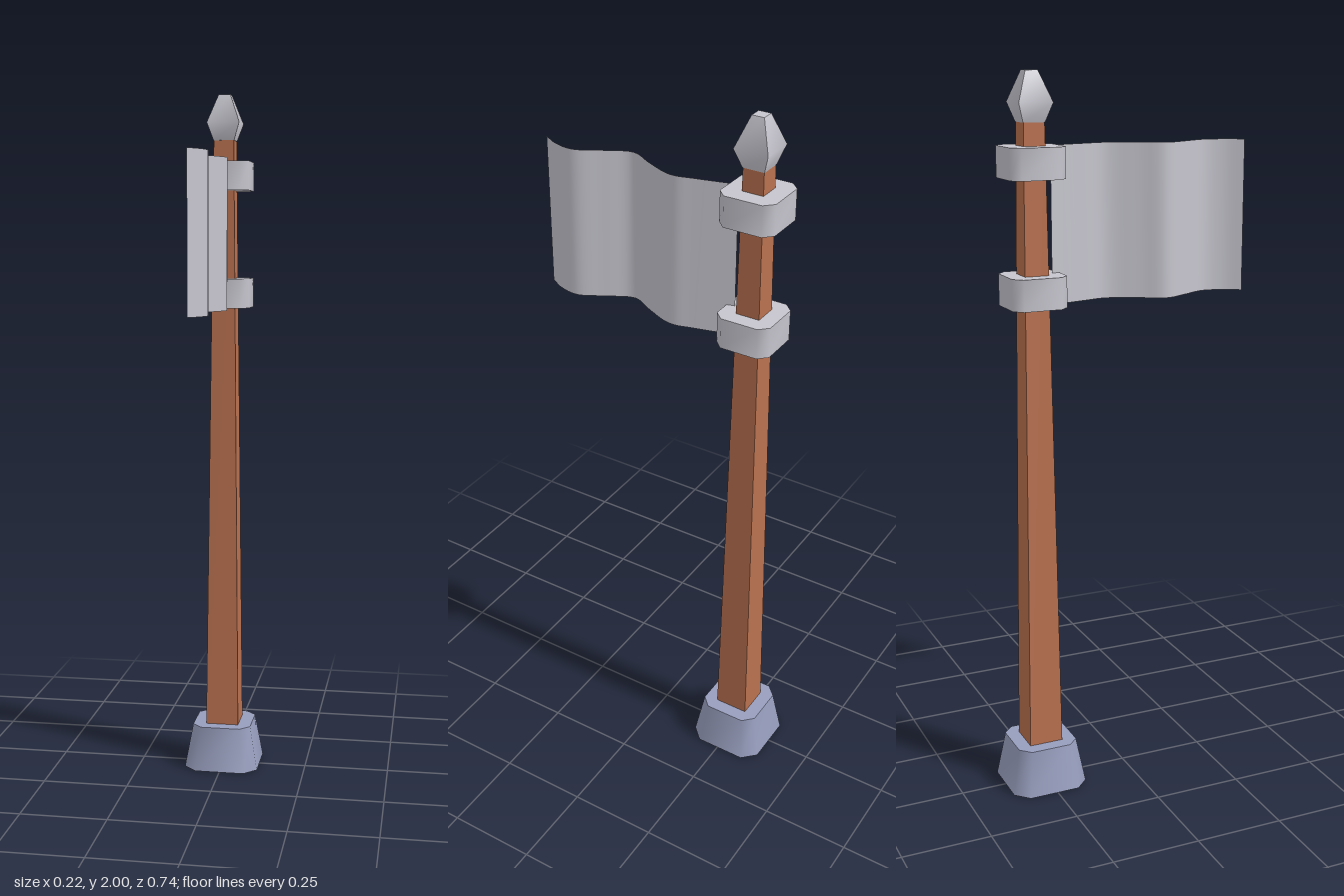
import * as THREE from 'three';
import { toCreasedNormals } from 'three/addons/utils/BufferGeometryUtils.js';

const POLE_Z = -0.26;

// Square outline with optionally cut corners, counter-clockwise seen from above
function outline(half, cut) {
  const c = half - cut;
  const corners = [];
  for (let i = 0; i < 4; i++) {
    const a = (i * Math.PI) / 2;
    const turn = (x, z) => [x * Math.cos(a) + z * Math.sin(a), -x * Math.sin(a) + z * Math.cos(a)];
    if (cut > 0) corners.push(turn(half, c), turn(half, -c));
    else corners.push(turn(half, half));
  }
  return corners;
}

// Closed solid lofted through sections of [y, half width, corner cut]
function loft(sections, crease = 1.05) {
  const pos = [];
  const rings = sections.map(([y, half, cut]) => outline(half, cut).map(([x, z]) => [x, y, z]));
  const tri = (a, b, c) => pos.push(...a, ...b, ...c);
  const n = rings[0].length;
  for (let r = 0; r < rings.length - 1; r++) {
    for (let i = 0; i < n; i++) {
      const j = (i + 1) % n;
      const lo = rings[r], hi = rings[r + 1];
      tri(lo[i], lo[j], hi[j]);
      tri(lo[i], hi[j], hi[i]);
    }
  }
  const bottom = rings[0], top = rings[rings.length - 1];
  for (let i = 1; i < n - 1; i++) {
    tri(bottom[0], bottom[i + 1], bottom[i]);
    tri(top[0], top[i], top[i + 1]);
  }
  const geo = new THREE.BufferGeometry();
  geo.setAttribute('position', new THREE.Float32BufferAttribute(pos, 3));
  return toCreasedNormals(geo, crease);
}

export function createModel() {
  const group = new THREE.Group();
  const material = (name, color, side = THREE.FrontSide) => {
    const m = new THREE.MeshStandardMaterial({ color, side });
    m.name = name;
    return m;
  };
  const wood = material('wood', 0xb9714f);
  const stone = material('blueStone', 0x979ebd);
  const grey = material('paleGrey', 0xc6c5ce, THREE.DoubleSide);

  const add = (name, geo, mat, z = POLE_Z) => {
    const mesh = new THREE.Mesh(geo, mat);
    mesh.name = name;
    mesh.position.z = z;
    group.add(mesh);
  };

  // Tapered foot with cut corners
  add('base', loft([[0, 0.11, 0.037], [0.13, 0.087, 0.029]]), stone);

  // Square tapered pole, showing through the underside of the foot
  add('pole', loft([[-0.001, 0.05, 0], [1.88, 0.029, 0]]), wood);

  // Spear-shaped tip
  add('finial', loft([[1.87, 0.03, 0], [1.92, 0.047, 0], [2, 0.017, 0]]), grey);

  // Two clamps holding the flag
  add('lowerClamp', loft([[1.39, 0.077, 0.024], [1.475, 0.077, 0.024]]), grey);
  add('upperClamp', loft([[1.727, 0.077, 0.024], [1.81, 0.077, 0.024]]), grey);

  // Waving flag: a sheet bent along a curve of (x, z) points
  const wave = new THREE.SplineCurve([
    [0, -0.205], [0.026, -0.1], [0.038, -0.03], [0.005, 0.05], [-0.03, 0.12],
    [0, 0.19], [0.036, 0.26], [0.028, 0.32], [0, 0.37],
  ].map(([x, z]) => new THREE.Vector2(x, z)));
  const flag = new THREE.PlaneGeometry(1, 0.42, 40, 1);
  const p = flag.attributes.position;
  for (let i = 0; i < p.count; i++) {
    const w = wave.getPoint(0.5 - p.getX(i));
    p.setXYZ(i, w.x, p.getY(i) + 1.6, w.y);
  }
  flag.computeVertexNormals();
  add('flag', flag, grey, 0);

  return group;
}
